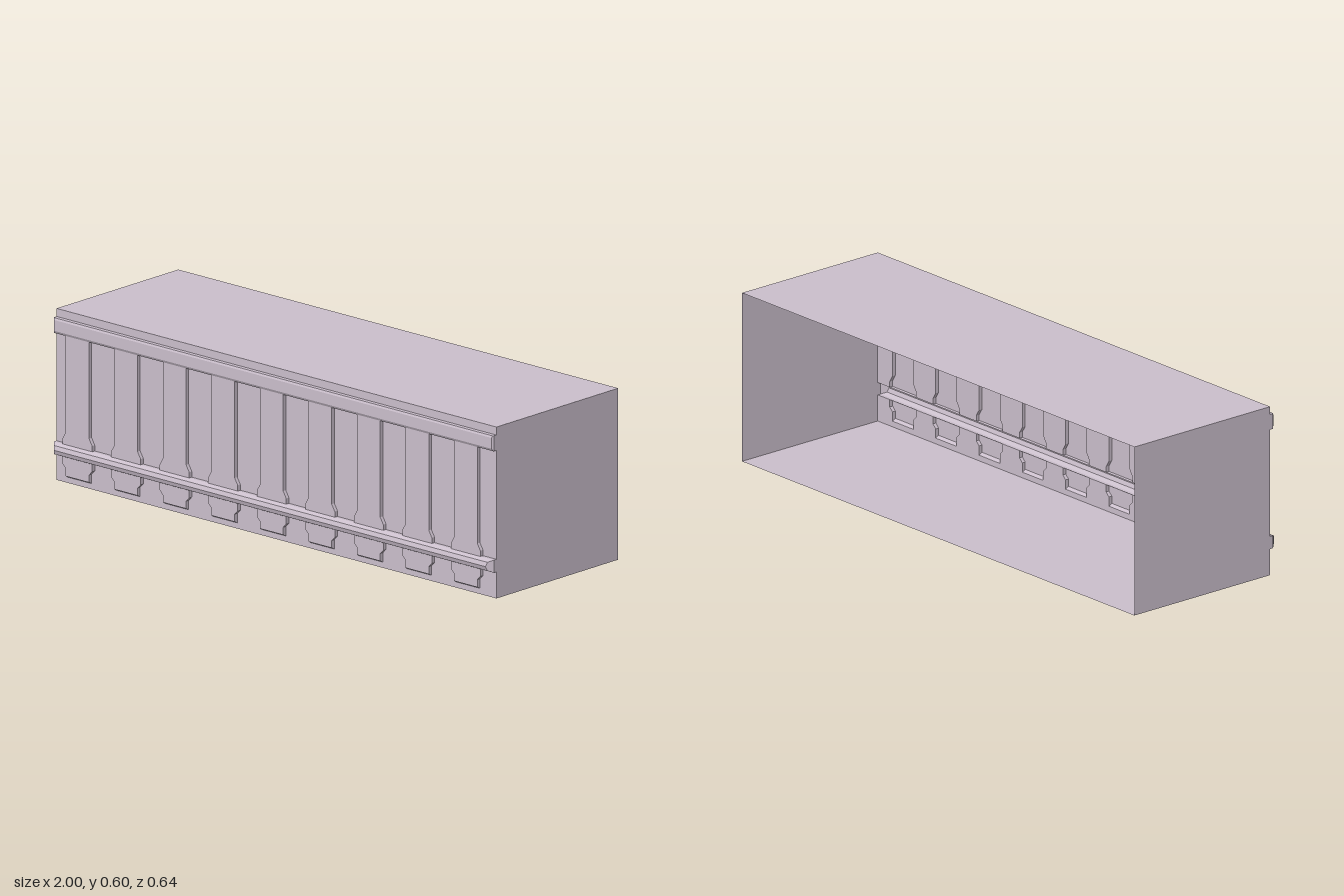
import * as THREE from 'three';

const WALL = 0.284, FACE = 0.297, BACK = -0.318, TOP = 0.6;
const COUNT = 9, STEP = 0.2206, FIRST = -0.893;

const material = new THREE.MeshStandardMaterial({
  color: 0xcbbfcc, flatShading: true, side: THREE.DoubleSide,
});

// Skin a grid of rows of [x, y, z] points; rows run downwards, points run left to right
function loft(rows) {
  const pos = [];
  for (let r = 0; r + 1 < rows.length; r++) {
    for (let i = 0; i + 1 < rows[r].length; i++) {
      const a = rows[r][i], b = rows[r][i + 1];
      const c = rows[r + 1][i], d = rows[r + 1][i + 1];
      pos.push(...a, ...c, ...b, ...b, ...c, ...d);
    }
  }
  const g = new THREE.BufferGeometry();
  g.setAttribute('position', new THREE.Float32BufferAttribute(pos, 3));
  g.computeVertexNormals();
  return g;
}

function add(parent, name, geometry) {
  const mesh = new THREE.Mesh(geometry, material);
  mesh.name = name;
  parent.add(mesh);
  return mesh;
}

// Cross-section of a hollow raised strip of half width w at height y
const raised = ([w, y]) => [[-w, y, WALL], [-w, y, FACE], [w, y, FACE], [w, y, WALL]];

// Moulding along x: profile of [z, y] from top to bottom, with chamfered ends
function rail(parent, name, profile) {
  const endX = (z) => 1 - Math.max(0, z - FACE) * 0.9;
  const group = new THREE.Group();
  group.name = name;
  add(group, 'moulding', loft(profile.map(([z, y]) => [[-endX(z), y, z], [endX(z), y, z]])));
  for (const s of [-1, 1]) {
    const rows = profile.map(([z, y]) => {
      const outer = [s * endX(z), y, z], inner = [s, y, WALL], bend = [s, y, Math.min(z, FACE)];
      return s > 0 ? [outer, bend, inner] : [inner, bend, outer];
    });
    add(group, 'railEnd', loft(rows));
  }
  parent.add(group);
}

export function createModel() {
  const model = new THREE.Group();
  model.name = 'panelledBox';

  // Thin case, open at the back
  const corners = [[1, TOP], [-1, TOP], [-1, 0], [1, 0], [1, TOP]];
  add(model, 'case', loft(corners.map(([x, y]) => [[x, y, BACK], [x, y, WALL]])));

  // Half width and height of the raised strips, above and below the lower rail
  const upper = [[0.053, 0.518], [0.053, 0.18], [0.067, 0.157], [0.067, 0.137]];
  const lower = [[0.067, 0.093], [0.067, 0.067], [0.053, 0.053], [0.053, 0.027]];
  const upperStrip = loft(upper.map(raised));
  const foot = [-0.053, -0.053, 0.053, 0.053].map((x) => [x, 0.02, WALL]);
  const lowerStrip = loft([...lower.map(raised), foot]);

  for (let i = 0; i < COUNT; i++) {
    const strip = new THREE.Group();
    strip.name = 'pilaster';
    strip.position.x = FIRST + i * STEP;
    add(strip, 'pilasterShaft', upperStrip);
    add(strip, 'pilasterFoot', lowerStrip);
    model.add(strip);
  }

  // Recessed wall between the strips
  for (let i = 0; i <= COUNT; i++) {
    const left = FIRST + (i - 1) * STEP, right = FIRST + i * STEP;
    const gap = ([w, y]) => [
      [i === 0 ? -1 : left + w, y, WALL],
      [i === COUNT ? 1 : right - w, y, WALL],
    ];
    add(model, 'upperPanel', loft(upper.map(gap)));
    add(model, 'lowerPanel', loft([...lower, [0.053, 0.02]].map(gap)));
  }

  // Plain bands along the top and bottom of the front
  for (const [name, y0, y1] of [['topBand', 0.572, TOP], ['bottomBand', 0, 0.02]]) {
    add(model, name, loft([y1, y0].map((y) => [[-1, y, WALL], [1, y, WALL]])));
  }

  // Horizontal mouldings
  rail(model, 'upperRail', [
    [WALL, 0.572], [0.3, 0.572], [0.303, 0.565], [0.303, 0.527], [0.298, 0.518], [WALL, 0.518],
  ]);
  rail(model, 'lowerRail', [
    [WALL, 0.137], [0.297, 0.137], [0.313, 0.13], [0.318, 0.115],
    [0.313, 0.1], [0.297, 0.093], [WALL, 0.093],
  ]);

  return model;
}
